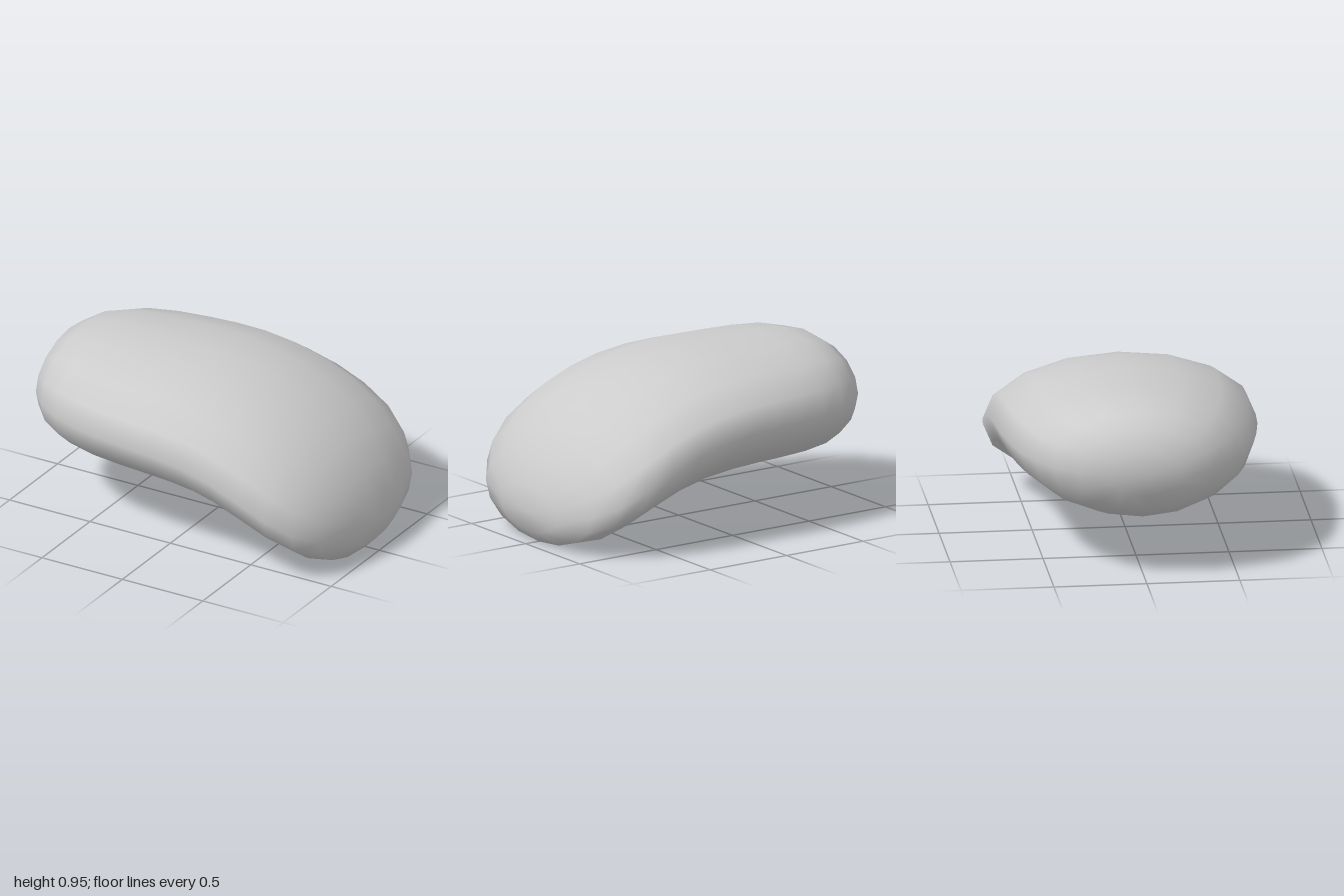
import * as THREE from 'three';

// Stations along x: [x, top y, bottom y, half width in z]
const STATIONS = [
  [-0.98, 0.735, 0.487, 0.19], [-0.92, 0.84, 0.383, 0.36], [-0.815, 0.906, 0.32, 0.48],
  [-0.68, 0.938, 0.289, 0.57], [-0.515, 0.947, 0.278, 0.63], [-0.34, 0.948, 0.277, 0.667],
  [-0.17, 0.947, 0.277, 0.692], [0, 0.94, 0.27, 0.703], [0.18, 0.916, 0.248, 0.706],
  [0.35, 0.872, 0.205, 0.707], [0.52, 0.804, 0.138, 0.705], [0.68, 0.708, 0.066, 0.685],
  [0.815, 0.593, 0.01, 0.617], [0.915, 0.462, 0.002, 0.487], [0.98, 0.32, 0.068, 0.262],
];
const SIDES = 16;

// Loft of upright elliptical sections, closed by a pole at each end
function loftBody() {
  const pos = [], index = [], n = STATIONS.length;
  for (const [x, top, bottom, w] of STATIONS) {
    for (let j = 0; j < SIDES; j++) {
      const a = (j / SIDES) * Math.PI * 2;
      pos.push(x, (top + bottom) / 2 + Math.cos(a) * (top - bottom) / 2, Math.sin(a) * w);
    }
  }
  const left = n * SIDES, right = left + 1;
  pos.push(-1, 0.61, 0, 1, 0.185, 0);

  for (let j = 0; j < SIDES; j++) {
    const k = (j + 1) % SIDES;
    for (let i = 0; i < n - 1; i++) {
      const a = i * SIDES + j, b = a + SIDES, c = i * SIDES + k, d = c + SIDES;
      index.push(a, c, b, b, c, d);
    }
    // End caps
    const last = (n - 1) * SIDES;
    index.push(left, k, j, right, last + j, last + k);
  }

  const g = new THREE.BufferGeometry();
  g.setAttribute('position', new THREE.Float32BufferAttribute(pos, 3));
  g.setIndex(index);
  g.computeVertexNormals();
  return g;
}

export function createModel() {
  const group = new THREE.Group();
  group.name = 'curvedPad';
  const body = new THREE.Mesh(loftBody(), new THREE.MeshStandardMaterial({ color: 0xcccccc }));
  body.name = 'body';
  group.add(body);
  return group;
}
